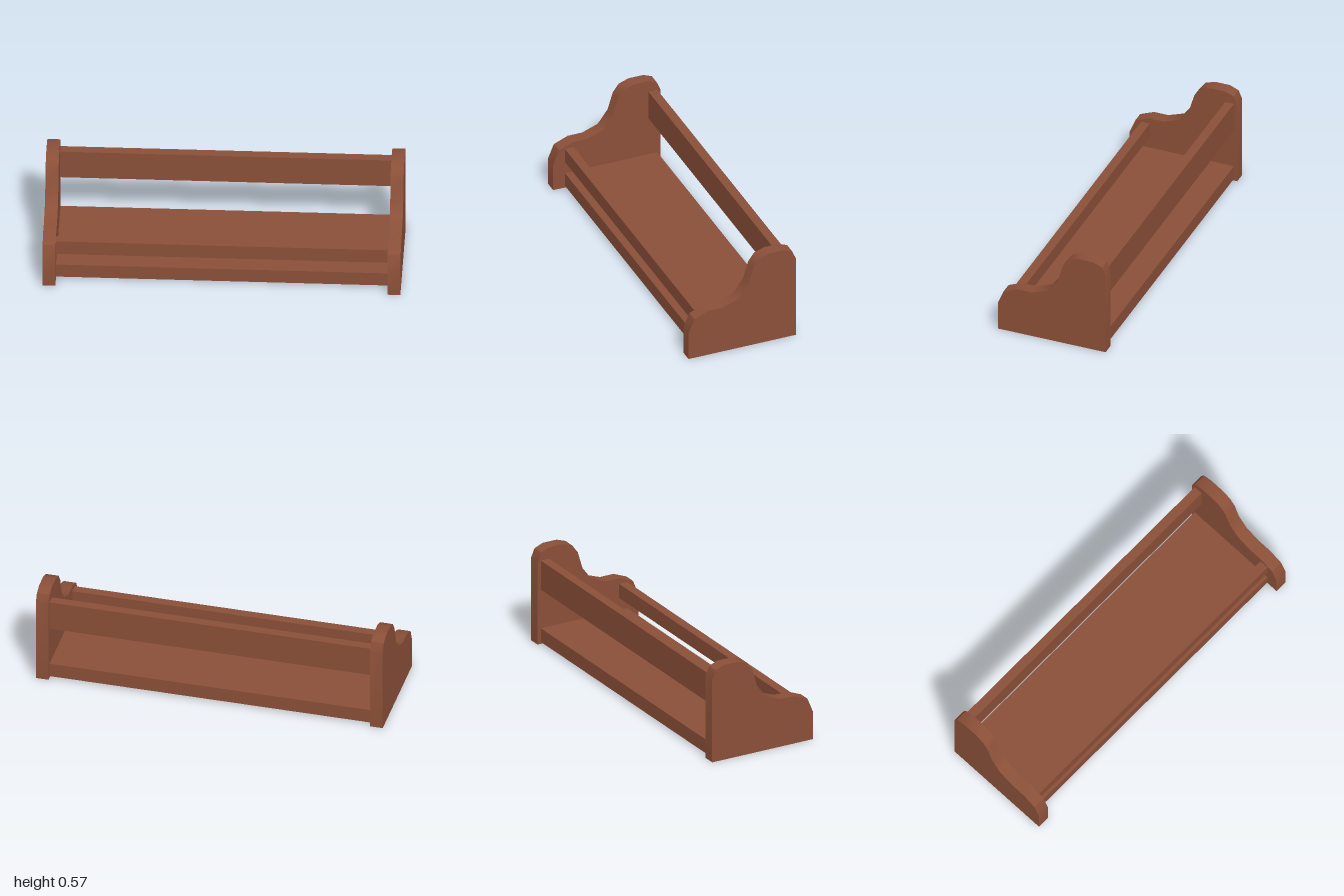
import * as THREE from 'three';
import { toCreasedNormals } from 'three/addons/utils/BufferGeometryUtils.js';

export function createModel() {
  const model = new THREE.Group();
  model.name = 'shelfRack';
  const wood = new THREE.MeshStandardMaterial({ color: 0x8a4f38 });
  wood.name = 'brownWood';

  // Side panel outline as [z, y], from front foot over the top to the back foot
  const outline = [
    [0.326, 0], [0.326, 0.168], [0.291, 0.253], [0.207, 0.287], [0.12, 0.287],
    [0.025, 0.321], [-0.035, 0.402], [-0.066, 0.505], [-0.102, 0.554],
    [-0.161, 0.575], [-0.251, 0.575], [-0.303, 0.554], [-0.325, 0.502], [-0.325, 0],
  ];
  const thickness = 0.073;
  const shape = new THREE.Shape(outline.map(([z, y]) => new THREE.Vector2(-z, y)));
  const extruded = new THREE.ExtrudeGeometry(shape, { depth: thickness, bevelEnabled: false });
  extruded.rotateY(Math.PI / 2);
  const panel = toCreasedNormals(extruded, 0.7);
  for (const [name, x] of [['leftSidePanel', 1 - thickness], ['rightSidePanel', -1]]) {
    const side = new THREE.Mesh(panel, wood);
    side.name = name;
    side.position.x = x;
    model.add(side);
  }

  // Boards spanning between the side panels
  const span = 2 * (1 - thickness);
  const addBoard = (name, y0, y1, z0, z1) => {
    const board = new THREE.Mesh(new THREE.BoxGeometry(span, y1 - y0, z1 - z0), wood);
    board.name = name;
    board.position.set(0, (y0 + y1) / 2, (z0 + z1) / 2);
    model.add(board);
  };
  addBoard('bottomShelf', 0.012, 0.095, -0.305, 0.255);
  addBoard('frontRail', 0.168, 0.254, 0.202, 0.255);
  addBoard('backRail', 0.33, 0.506, -0.305, -0.252);

  return model;
}
